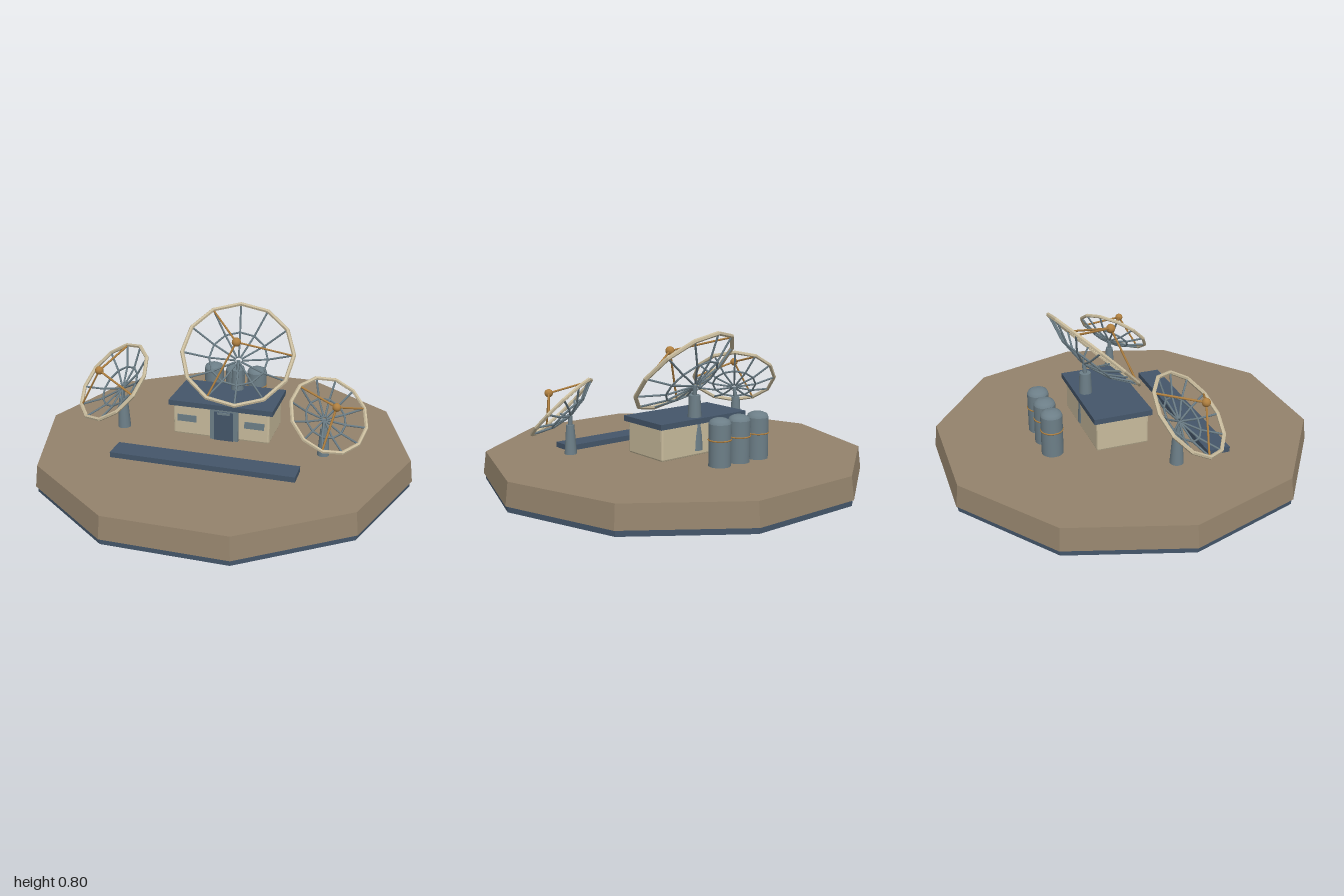
import * as THREE from 'three';
import { RoundedBoxGeometry } from 'three/addons/geometries/RoundedBoxGeometry.js';

const mat = (name, color, flatShading = false) => {
  const m = new THREE.MeshStandardMaterial({ color, flatShading });
  m.name = name;
  return m;
};

export function createModel() {
  const model = new THREE.Group();
  model.name = 'antennaStation';
  const earth = mat('earth tan', 0x94836c, true);
  const slate = mat('slate blue', 0x44566a, true);
  const cream = mat('cream', 0xc8bb9c, true);
  const steel = mat('steel grey', 0x6d7f88);
  const copper = mat('copper', 0xb08040);

  const add = (parent, name, geometry, material, x = 0, y = 0, z = 0) => {
    const m = new THREE.Mesh(geometry, material);
    m.name = name;
    m.position.set(x, y, z);
    parent.add(m);
    return m;
  };
  // box given by its limits on each axis
  const box = (parent, name, material, [x0, x1], [y0, y1], [z0, z1]) =>
    add(parent, name, new THREE.BoxGeometry(x1 - x0, y1 - y0, z1 - z0), material,
      (x0 + x1) / 2, (y0 + y1) / 2, (z0 + z1) / 2);
  // round rod between two points
  const rod = (parent, name, a, b, radius, material, sides = 6) => {
    const d = b.clone().sub(a);
    const m = add(parent, name, new THREE.CylinderGeometry(radius, radius, d.length(), sides), material);
    m.position.copy(a).add(b).multiplyScalar(0.5);
    m.quaternion.setFromUnitVectors(new THREE.Vector3(0, 1, 0), d.normalize());
    return m;
  };

  // ten-sided ground slab on a dark footing
  add(model, 'groundSlab', new THREE.CylinderGeometry(0.985, 1, 0.115, 10), earth, 0, 0.0875, 0).rotation.y = Math.PI / 2;
  add(model, 'footing', new THREE.CylinderGeometry(0.99, 0.99, 0.03, 10), slate, 0, 0.015, 0).rotation.y = Math.PI / 2;

  // raised walkway at the front
  box(model, 'walkway', slate, [-0.48, 0.475], [0.152, 0.18], [0.282, 0.403]);

  // control building
  const hut = new THREE.Group();
  hut.name = 'controlBuilding';
  model.add(hut);
  add(hut, 'walls', new RoundedBoxGeometry(0.524, 0.17, 0.275, 1, 0.01), cream, 0, 0.243, -0.0875);
  box(hut, 'roof', slate, [-0.283, 0.281], [0.324, 0.352], [-0.243, 0.063]);
  box(hut, 'doorFrame', steel, [-0.055, 0.097], [0.157, 0.326], [0.03, 0.064]);
  box(hut, 'door', slate, [-0.03, 0.072], [0.157, 0.318], [0.062, 0.069]);
  box(hut, 'doorLight', steel, [-0.012, 0.056], [0.305, 0.317], [0.067, 0.074]);
  for (const x of [-0.185, 0.182])
    box(hut, 'window', steel, [x - 0.053, x + 0.053], [0.235, 0.272], [0.045, 0.054]);

  // row of storage tanks behind the building
  const tankProfile = [[0, 0.155], [0.055, 0.155], [0.055, 0.364], [0.048, 0.38], [0.03, 0.389], [0, 0.392]]
    .map(([r, y]) => new THREE.Vector2(r, y));
  for (const x of [-0.181, -0.055, 0.072]) {
    const tank = new THREE.Group();
    tank.name = 'tank';
    tank.position.set(x, 0, -0.433);
    model.add(tank);
    // wall and cap kept separate so the rim edge stays crisp
    add(tank, 'tankWall', new THREE.LatheGeometry(tankProfile.slice(1, 3), 20), steel);
    add(tank, 'tankCap', new THREE.LatheGeometry(tankProfile.slice(2), 20), steel);
    add(tank, 'tankBottom', new THREE.LatheGeometry(tankProfile.slice(0, 2), 20), steel);
    add(tank, 'tankBand', new THREE.TorusGeometry(0.055, 0.004, 6, 20), copper, 0, 0.285, 0).rotation.x = Math.PI / 2;
  }

  // open wire dish on a tapered pedestal; the dish opens along its own +z
  const makeAntenna = ({ center, yaw, R, post, postTop, postRadii }) => {
    const antenna = new THREE.Group();
    antenna.name = 'antenna';
    model.add(antenna);
    const dish = new THREE.Group();
    dish.name = 'dish';
    dish.position.set(...center);
    dish.rotation.set(-Math.PI / 4, yaw, 0, 'YXZ');
    antenna.add(dish);

    const depth = 0.3 * R;
    const at = (i, t) => {
      const a = (i / 12) * Math.PI * 2;
      return new THREE.Vector3(Math.cos(a) * R * t, Math.sin(a) * R * t, depth * (t * t - 1));
    };
    add(dish, 'rim', new THREE.TorusGeometry(R, 0.0065 + R * 0.016, 6, 12), cream);
    add(dish, 'innerRing', new THREE.TorusGeometry(R * 0.53, 0.0055, 5, 12), steel, 0, 0, depth * (0.53 ** 2 - 1));
    for (let i = 0; i < 12; i++) {
      const stops = [0.06, 0.53, 1];
      for (let k = 0; k < 2; k++)
        rod(dish, 'rib', at(i, stops[k]), at(i, stops[k + 1]), 0.0055, steel, 5);
    }
    // feed ball held by three struts
    const feed = new THREE.Vector3(0, 0, R * 0.47);
    add(dish, 'feed', new THREE.SphereGeometry(0.015 + R * 0.03, 14, 10), copper).position.copy(feed);
    for (const i of [0, 4, 8]) rod(dish, 'feedStrut', at(i, 0.98), feed, 0.0055, copper);

    // pedestal and neck
    const bottom = 0.183;
    add(antenna, 'pedestal', new THREE.CylinderGeometry(postRadii[0], postRadii[1], postTop - bottom, 12), steel,
      post[0], (postTop + bottom) / 2, post[1]);
    const n = new THREE.Vector3(0, 0, -depth).applyEuler(dish.rotation).add(dish.position);
    rod(antenna, 'neck', new THREE.Vector3(post[0], postTop - 0.01, post[1]), n, 0.011, steel, 8);
  };

  makeAntenna({ center: [0.04, 0.575, -0.133], yaw: 0.19, R: 0.296, post: [0.024, -0.19], postTop: 0.463, postRadii: [0.03, 0.044] });
  makeAntenna({ center: [-0.557, 0.455, 0.139], yaw: -0.735, R: 0.23, post: [-0.527, 0.092], postTop: 0.35, postRadii: [0.023, 0.035] });
  makeAntenna({ center: [0.585, 0.418, 0.163], yaw: 0.685, R: 0.2, post: [0.56, 0.13], postTop: 0.33, postRadii: [0.02, 0.031] });

  return model;
}
